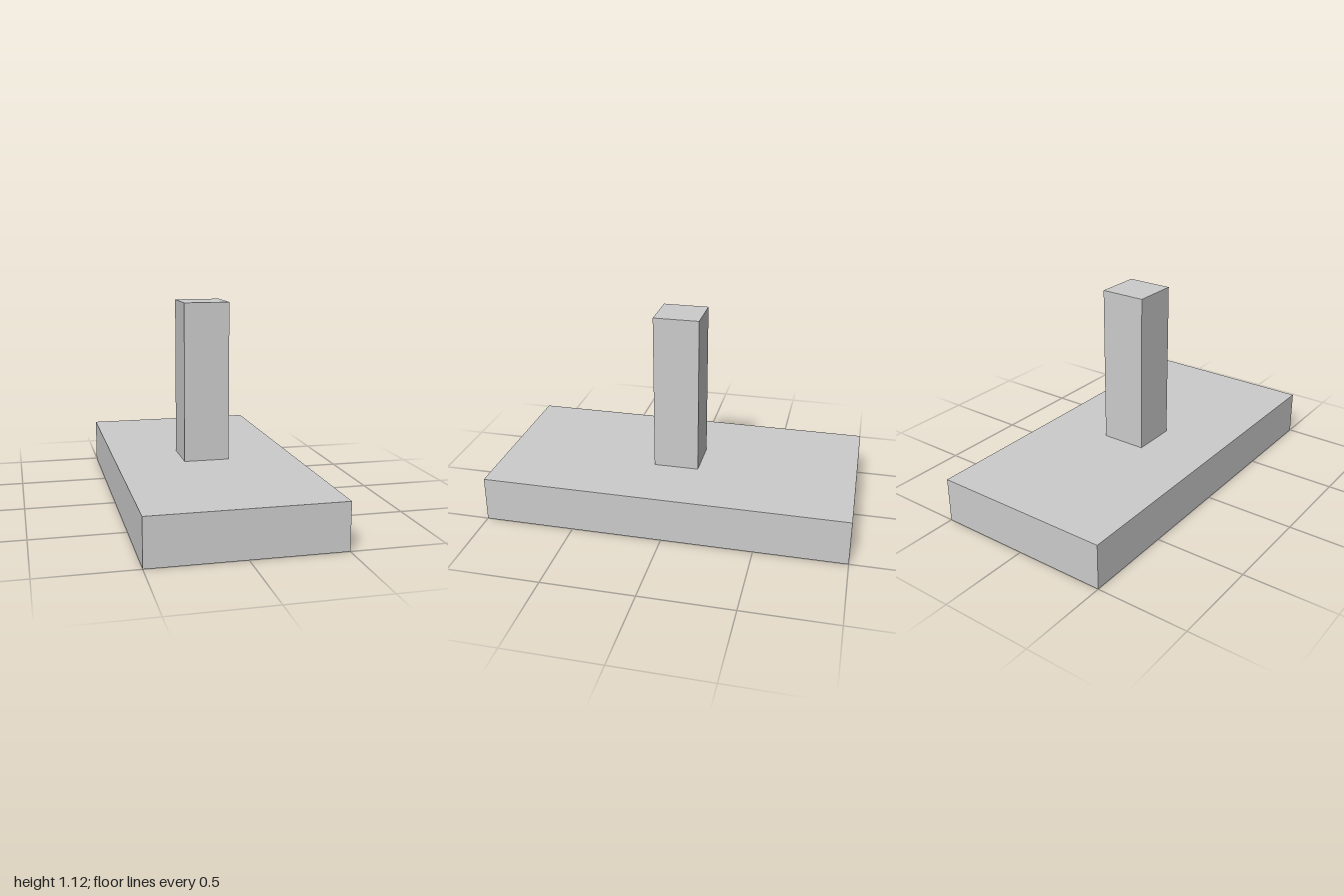
import * as THREE from 'three';

const material = new THREE.MeshStandardMaterial({ color: 0xcccccc });

// Box standing on the given height
function block(name, width, height, depth, bottom) {
  const mesh = new THREE.Mesh(new THREE.BoxGeometry(width, height, depth), material);
  mesh.name = name;
  mesh.position.y = bottom + height / 2;
  return mesh;
}

export function createModel() {
  const model = new THREE.Group();
  model.name = 'postOnBase';
  const baseHeight = 0.25;

  // Flat rectangular slab
  model.add(block('base', 1, baseHeight, 2, 0));

  // Square upright in the middle of the slab
  model.add(block('post', 0.25, 0.875, 0.25, baseHeight));

  return model;
}
